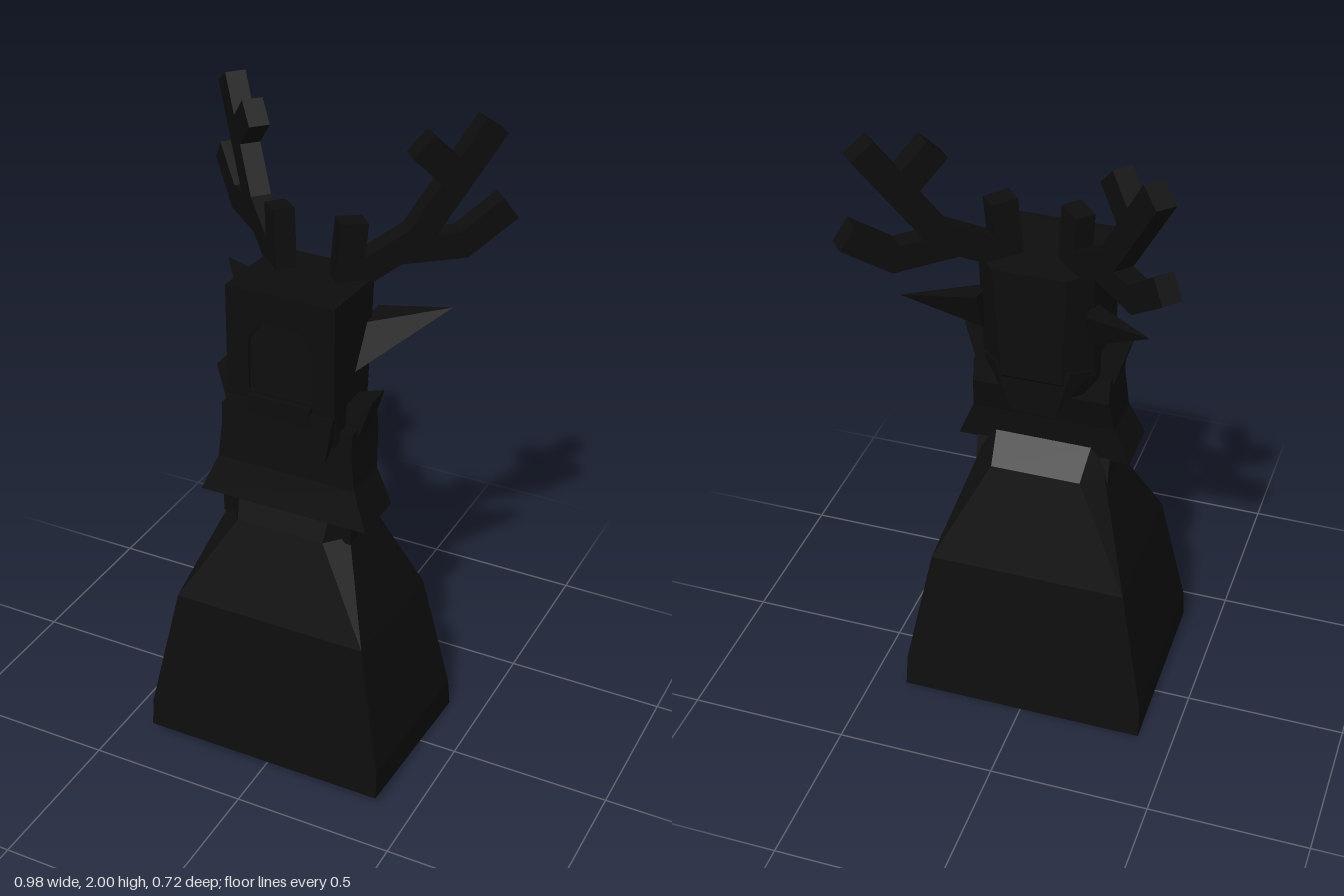
import * as THREE from 'three';

const coat = new THREE.MeshStandardMaterial({ color: 0x0d0d0d, side: THREE.DoubleSide });
coat.name = 'black coat';

// Flat-sided skin over rings of equal length, listed from bottom to top
function loft(name, rings, capBottom = true, capTop = true) {
  const pos = [];
  const tri = (a, b, c) => pos.push(...a, ...b, ...c);
  const n = rings[0].length;
  for (let r = 0; r < rings.length - 1; r++) {
    const a = rings[r], b = rings[r + 1];
    for (let i = 0; i < n; i++) {
      const j = (i + 1) % n;
      tri(a[i], a[j], b[j]);
      tri(a[i], b[j], b[i]);
    }
  }
  const first = rings[0], last = rings[rings.length - 1];
  for (let i = 1; i < n - 1; i++) {
    if (capBottom) tri(first[0], first[i + 1], first[i]);
    if (capTop) tri(last[0], last[i], last[i + 1]);
  }
  const g = new THREE.BufferGeometry();
  g.setAttribute('position', new THREE.Float32BufferAttribute(pos, 3));
  g.computeVertexNormals();
  const mesh = new THREE.Mesh(g, coat);
  mesh.name = name;
  return mesh;
}

// Rectangle of half width x from zf to zb, tilted from yf to yb, with front and back corner cuts
function ring(x, zf, zb, yf, yb, cf = 0, cb = cf) {
  const y = z => yb + (yf - yb) * (z - zb) / (zf - zb);
  return [[x - cf, zf], [x, zf - cf], [x, zb + cb], [x - cb, zb],
    [cb - x, zb], [-x, zb + cb], [-x, zf - cf], [cf - x, zf]].map(([px, z]) => [px, y(z), z]);
}

// Mitred strip of constant width along a path, given thickness
function bar(name, points, width, depth) {
  const p = points.map(([x, y]) => new THREE.Vector2(x, y));
  const left = [], right = [];
  p.forEach((q, i) => {
    const d0 = p[Math.max(i, 1)].clone().sub(p[Math.max(i, 1) - 1]).normalize();
    const k = Math.min(i, p.length - 2);
    const d1 = p[k + 1].clone().sub(p[k]).normalize();
    const m = d0.clone().add(d1).normalize();
    const h = width / 2 / m.dot(d0);
    left.push(new THREE.Vector2(q.x - m.y * h, q.y + m.x * h));
    right.push(new THREE.Vector2(q.x + m.y * h, q.y - m.x * h));
  });
  const g = new THREE.ExtrudeGeometry(new THREE.Shape([...right, ...left.reverse()]),
    { depth, bevelEnabled: false });
  g.translate(0, 0, -depth / 2);
  const mesh = new THREE.Mesh(g, coat);
  mesh.name = name;
  return mesh;
}

// One antler, flat in an upright plane that sweeps outward and back
function antler() {
  const g = new THREE.Group();
  g.name = 'antler';
  const s = 1.359;
  const paths = {
    mainBeam: [[0.09, 1.555], [0.25, 1.67], [0.41, 1.98]],
    lowerTine: [[0.2, 1.64], [0.35, 1.635], [0.45, 1.732]],
    upperTine: [[0.335, 1.835], [0.255, 1.942]],
    browTine: [[0.1, 1.54], [0.113, 1.74]],
  };
  for (const [name, path] of Object.entries(paths))
    g.add(bar(name, path.map(([x, y]) => [x * s, y]), name === 'upperTine' ? 0.085 : 0.08, 0.062));
  g.rotation.y = 0.744;
  g.position.z = 0.085;
  return g;
}

// Parts found on each side
function side() {
  const g = new THREE.Group();
  g.add(antler());
  const tip = [0.365, 1.46, -0.165];
  g.add(loft('ear', [
    [[0.16, 1.31, 0.08], [0.16, 1.33, -0.06], [0.16, 1.45, -0.1], [0.16, 1.44, 0.0]],
    [tip, tip, tip, tip],
  ]));
  g.add(loft('cheekTuft', [
    [[0.21, 1.14, 0.13], [0.21, 1.14, 0.03], [0.15, 1.14, 0.03], [0.15, 1.14, 0.13]],
    [[0.25, 1.265, 0.12], [0.25, 1.265, 0.04], [0.16, 1.235, 0.04], [0.16, 1.235, 0.12]],
  ]));
  return g;
}

export function createModel() {
  const model = new THREE.Group();
  model.name = 'stagBust';

  // Flaring cloak, open below
  model.add(loft('cloak', [
    ring(0.39, 0.35, -0.215, 0.04, 0),
    ring(0.388, 0.342, -0.2, 0.13, 0.1),
    ring(0.31, 0.295, -0.15, 0.53, 0.5),
    ring(0.2, 0.212, -0.06, 0.81, 0.83, 0.06),
    ring(0.18, 0.185, 0.02, 0.9, 0.91, 0.03),
  ], false, true));

  // Neck with its skirted ruff
  model.add(loft('neckBase', [ring(0.21, 0.17, 0.0, 0.8, 0.8), ring(0.21, 0.17, 0.02, 0.88, 0.88)]));
  model.add(loft('neckRuff', [
    ring(0.27, 0.198, 0.02, 0.875, 0.875),
    ring(0.222, 0.174, 0.02, 0.99, 0.99),
    ring(0.21, 0.17, -0.01, 1.1, 1.1),
    ring(0.21, 0.165, 0.0, 1.17, 1.17),
  ]));

  // Head, cut at the back corners
  model.add(loft('head', [
    ring(0.17, 0.18, -0.03, 1.12, 1.12, 0.02, 0.06),
    ring(0.17, 0.195, -0.095, 1.2, 1.2, 0.01, 0.08),
    ring(0.17, 0.18, -0.11, 1.575, 1.56, 0.01, 0.06),
  ]));

  // Beard and nape points hanging below the head
  model.add(loft('beard', [
    ring(0.15, 0.22, 0.2, 1.09, 1.1),
    ring(0.17, 0.212, 0.1, 1.23, 1.23),
  ]));
  model.add(loft('nape', [
    ring(0.07, -0.066, -0.08, 1.085, 1.07),
    ring(0.165, 0.0, -0.088, 1.22, 1.24, 0, 0.05),
  ]));

  // Hood frame around a recessed face
  const frame = new THREE.Shape();
  frame.moveTo(-0.17, 1.23).lineTo(0.17, 1.23).lineTo(0.17, 1.575).lineTo(-0.17, 1.575);
  const opening = new THREE.Path();
  opening.moveTo(-0.1, 1.26).lineTo(-0.1, 1.42).lineTo(-0.06, 1.48)
    .lineTo(0.06, 1.48).lineTo(0.1, 1.42).lineTo(0.1, 1.26);
  frame.holes.push(opening);
  const hood = new THREE.Mesh(new THREE.ExtrudeGeometry(frame, { depth: 0.025, bevelEnabled: false }), coat);
  hood.name = 'hoodFrame';
  hood.position.z = 0.175;
  model.add(hood);
  const muzzle = new THREE.Mesh(new THREE.BoxGeometry(0.2, 0.06, 0.04), coat);
  muzzle.name = 'muzzle';
  muzzle.position.set(0, 1.22, 0.195);
  model.add(muzzle);

  // Mirrored side parts
  for (const s of [1, -1]) {
    const half = side();
    half.name = s > 0 ? 'leftSide' : 'rightSide';
    half.scale.x = s;
    model.add(half);
  }
  return model;
}
